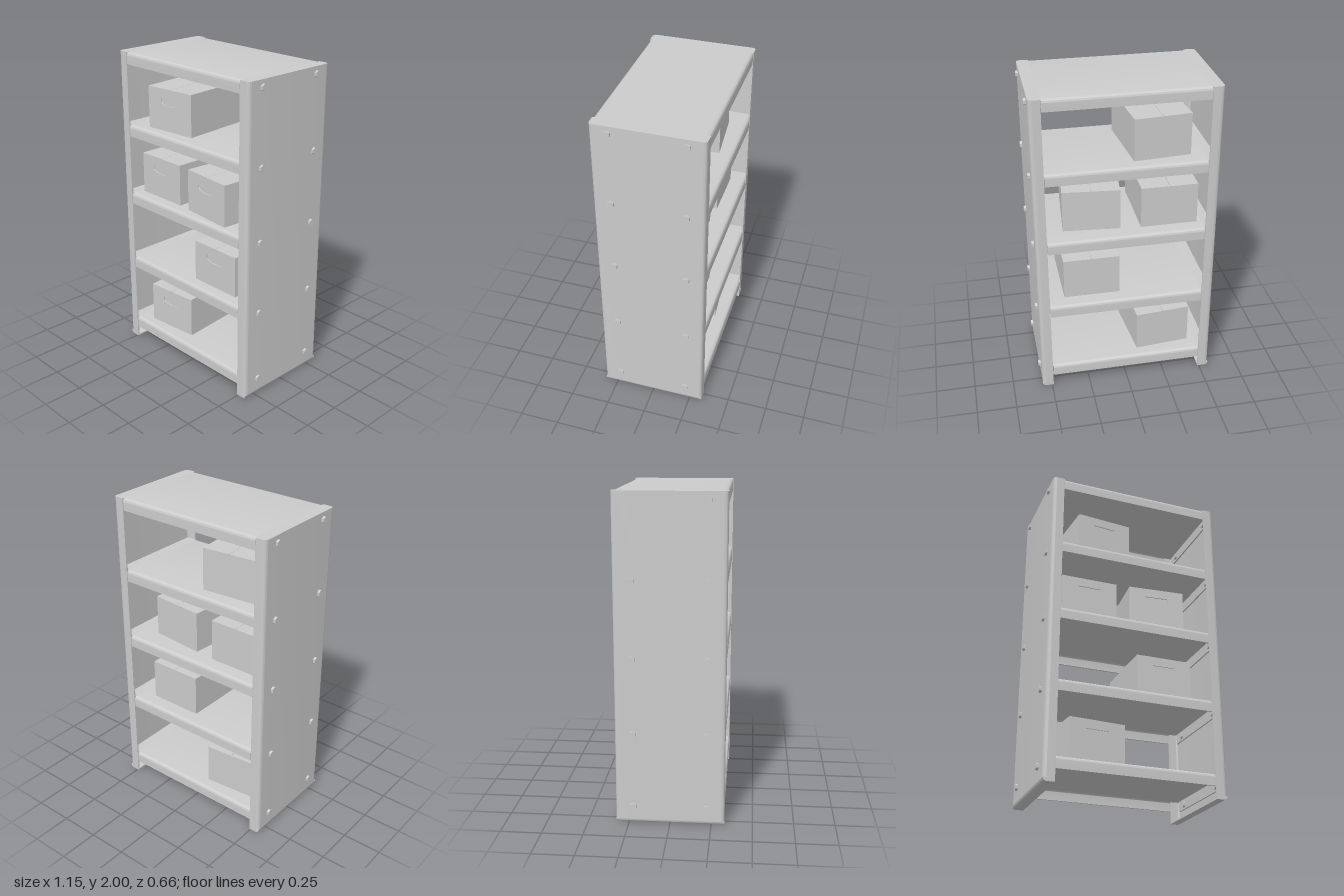
import * as THREE from 'three';
import { toCreasedNormals } from 'three/addons/utils/BufferGeometryUtils.js';

const material = new THREE.MeshStandardMaterial({ color: 0xcccccc, side: THREE.DoubleSide });
const W = 0.56, D = 0.33, H = 2, LIP = 0.49, T = 0.01, R = 0.022;
const SHELF_H = 0.075;
const shelfTops = [0.153, 0.615, 1.077, 1.538, 2];

function add(parent, name, geometry, x = 0, y = 0, z = 0) {
  const mesh = new THREE.Mesh(geometry, material);
  mesh.name = name;
  mesh.position.set(x, y, z);
  parent.add(mesh);
  return mesh;
}

function group(parent, name) {
  const g = new THREE.Group();
  g.name = name;
  parent.add(g);
  return g;
}

const box = (w, h, d) => new THREE.BoxGeometry(w, h, d);

function extrude(shape, depth) {
  const g = new THREE.ExtrudeGeometry(shape, { depth, bevelEnabled: false, curveSegments: 6 });
  return toCreasedNormals(g, 0.6);
}

// Sheet-metal side: a C-shaped channel with a folded bottom edge
function sidePanel(parent, name) {
  const g = group(parent, name);
  const s = new THREE.Shape();
  s.moveTo(LIP, -D);
  s.lineTo(W - R, -D);
  s.absarc(W - R, -D + R, R, -Math.PI / 2, 0, false);
  s.absarc(W - R, D - R, R, 0, Math.PI / 2, false);
  s.lineTo(LIP, D);
  s.lineTo(LIP, D - T);
  s.absarc(W - R, D - R, R - T, Math.PI / 2, 0, true);
  s.absarc(W - R, -D + R, R - T, 0, -Math.PI / 2, true);
  s.lineTo(LIP, -D + T);
  s.closePath();
  add(g, 'channel', extrude(s, H - R).rotateX(-Math.PI / 2), 0, R, 0);

  // Rounded fold along the floor
  const fold = new THREE.Shape();
  fold.moveTo(LIP, 0);
  fold.lineTo(W - R, 0);
  fold.absarc(W - R, R, R, -Math.PI / 2, 0, false);
  fold.lineTo(W - T, R);
  fold.absarc(W - R, R, R - T, 0, -Math.PI / 2, true);
  fold.lineTo(LIP, T);
  fold.closePath();
  add(g, 'bottomFold', extrude(fold, 2 * D - 2 * T), 0, 0, -D + T);

  // Front and back ends of the fold
  const end = new THREE.Shape();
  end.moveTo(LIP, 0);
  end.lineTo(W - R, 0);
  end.absarc(W - R, R, R, -Math.PI / 2, 0, false);
  end.lineTo(LIP, R);
  end.closePath();
  for (const z of [-D, D - T]) add(g, 'foldEnd', extrude(end, T), 0, 0, z);

  // Bolt heads outside, nuts inside
  const hex = (r, h) => toCreasedNormals(new THREE.CylinderGeometry(r, r, h, 6), 0.5).rotateZ(Math.PI / 2).rotateX(Math.PI / 2);
  for (const top of shelfTops) {
    for (const z of [-0.223, 0.223]) {
      const y = top - 0.045;
      add(g, 'boltHead', hex(0.021, 0.016), W + 0.007, y, z);
      add(g, 'nut', hex(0.019, 0.012), W - T - 0.016, y, z);
    }
  }
  return g;
}

// Folded tray shelf, hollow underneath, with end flanges inside the sides
function shelf(parent, top) {
  const g = group(parent, 'shelf');
  const d = D - 0.002;
  const s = new THREE.Shape();
  s.moveTo(d, -SHELF_H);
  s.lineTo(d, -R);
  s.absarc(d - R, -R, R, 0, Math.PI / 2, false);
  s.absarc(-d + R, -R, R, Math.PI / 2, Math.PI, false);
  s.lineTo(-d, -SHELF_H);
  s.lineTo(-d + T, -SHELF_H);
  s.absarc(-d + R, -R, R - T, Math.PI, Math.PI / 2, true);
  s.absarc(d - R, -R, R - T, Math.PI / 2, 0, true);
  s.lineTo(d - T, -SHELF_H);
  s.closePath();
  const half = LIP - 0.003;
  add(g, 'tray', extrude(s, 2 * half).rotateY(Math.PI / 2), -half, top, 0);
  const endW = W - T - half;
  for (const side of [-1, 1]) {
    add(g, 'trayEnd', box(endW, T, 2 * (D - T)), side * (half + endW / 2), top - T / 2, 0);
    add(g, 'endFlange', box(T, SHELF_H, 2 * (D - 0.025)), side * (W - 1.5 * T), top - SHELF_H / 2, 0);
  }
}

// Storage box: cut-out hand hold at the front and two flaps on top
function storageBox(parent, x, top, z, turn) {
  const g = group(parent, 'storageBox');
  const w = 0.355, h = 0.265, d = 0.48, t = 0.006;
  add(g, 'boxBody', box(w, h - t, d - t), 0, (h - t) / 2, -t / 2);

  const front = new THREE.Shape();
  front.moveTo(-w / 2, 0);
  front.lineTo(w / 2, 0);
  front.lineTo(w / 2, h - t);
  front.lineTo(-w / 2, h - t);
  front.closePath();
  const hold = new THREE.Path();
  hold.moveTo(-0.074, 0.208);
  hold.lineTo(-0.074, 0.178);
  hold.quadraticCurveTo(-0.045, 0.16, -0.02, 0.16);
  hold.lineTo(0.02, 0.16);
  hold.quadraticCurveTo(0.045, 0.16, 0.074, 0.178);
  hold.lineTo(0.074, 0.208);
  hold.closePath();
  front.holes.push(hold);
  add(g, 'boxFront', extrude(front, t), 0, 0, d / 2 - t);

  const flapW = w / 2 - 0.001;
  for (const side of [-1, 1]) {
    add(g, 'boxFlap', box(flapW, t, d), side * (w / 2 - flapW / 2), h - t / 2, 0);
  }
  g.position.set(x, top, z);
  g.rotation.y = turn;
}

export function createModel() {
  const model = new THREE.Group();
  model.name = 'shelvingUnit';

  sidePanel(model, 'leftSide');
  sidePanel(model, 'rightSide').rotation.y = Math.PI;
  for (const top of shelfTops) shelf(model, top);

  // Boxes: x, shelf index, z, turn
  const boxes = [
    [-0.24, 0, 0.005, 0.09],
    [0.208, 1, 0.01, 0],
    [-0.283, 2, 0.01, 0],
    [0.178, 2, 0.035, -0.09],
    [-0.21, 3, 0.01, 0.09],
  ];
  for (const [x, i, z, turn] of boxes) storageBox(model, x, shelfTops[i], z, turn);
  return model;
}
